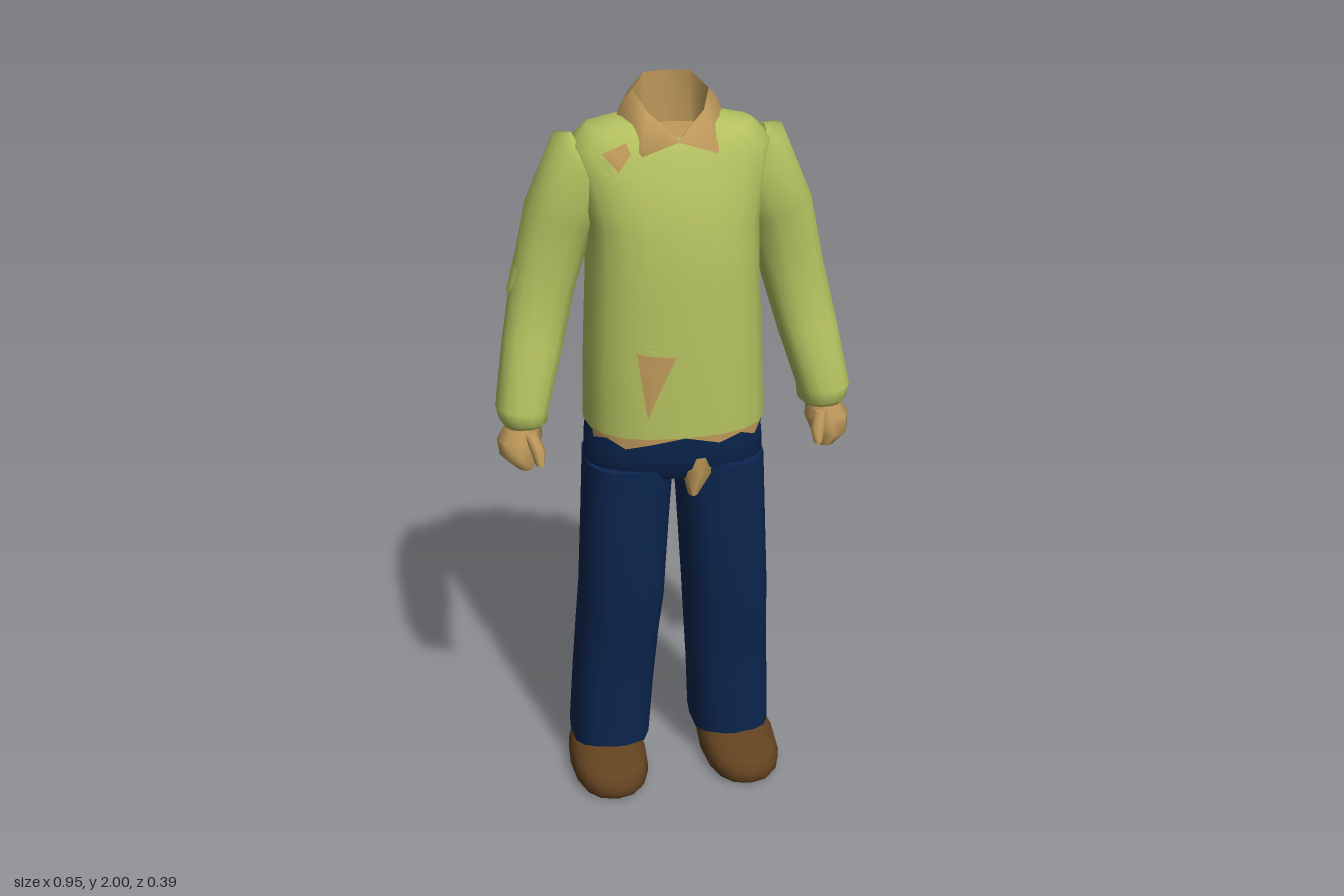
import * as THREE from 'three';

const mat = (name, color) => new THREE.MeshStandardMaterial({ name, color, side: THREE.DoubleSide });

// Skin over closed rows of points, listed top to bottom
function skin(rows, capTop, capBottom) {
  const n = rows[0].length, pos = rows.flat(2), idx = [];
  for (let i = 0; i < rows.length - 1; i++)
    for (let j = 0; j < n; j++) {
      const a = i * n + j, b = i * n + (j + 1) % n;
      idx.push(a, b, a + n, b, b + n, a + n);
    }
  const cap = (row, top) => {
    const base = pos.length / 3;
    pos.push(...row.flat());
    pos.push(...[0, 1, 2].map(k => row.reduce((s, p) => s + p[k], 0) / n));
    for (let j = 0; j < n; j++) {
      const a = base + j, b = base + (j + 1) % n;
      idx.push(base + n, top ? b : a, top ? a : b);
    }
  };
  if (capTop) cap(rows[0], true);
  if (capBottom) cap(rows[rows.length - 1], false);
  const g = new THREE.BufferGeometry();
  g.setAttribute('position', new THREE.Float32BufferAttribute(pos, 3));
  g.setIndex(idx);
  g.computeVertexNormals();
  return g;
}

// One rounded-box ring: centre x, y, half width, front z, back z
function ring(cx, y, rx, zf, zb, { tilt = 0, lift = 0, jag = 0, e = 2.5, n = 20 } = {}) {
  const pts = [];
  for (let j = 0; j < n; j++) {
    const a = (j / n) * Math.PI * 2, c = Math.cos(a), s = Math.sin(a);
    const u = Math.sign(c) * Math.abs(c) ** (2 / e), w = Math.sign(s) * Math.abs(s) ** (2 / e);
    const rag = jag * ((j * 7) % 5) / 4;
    pts.push([cx + rx * u * Math.cos(tilt), y + rx * u * Math.sin(tilt) + lift * u * u - rag,
      (zf + zb) / 2 + w * (zf - zb) / 2]);
  }
  return pts;
}

export function createModel() {
  const green = mat('shirtGreen', 0xb3c05f), tan = mat('tan', 0xbd985a);
  const navy = mat('trouserNavy', 0x0c2650), brown = mat('shoeBrown', 0x624220);
  const model = new THREE.Group();
  const add = (name, geo, m) => {
    const mesh = new THREE.Mesh(geo, m);
    mesh.name = name;
    model.add(mesh);
    return mesh;
  };

  // Shirt body with sloping shoulders
  const body = add('shirtBody', skin([
    ring(0, 1.865, 0.125, 0.07, -0.14, { lift: 0.04 }),
    ring(0, 1.855, 0.21, 0.085, -0.16, { lift: 0.03 }),
    ring(0, 1.82, 0.26, 0.1, -0.172, { lift: 0.02 }),
    ring(0, 1.76, 0.25, 0.128, -0.18),
    ring(0, 1.65, 0.222, 0.165, -0.186),
    ring(0, 1.5, 0.225, 0.175, -0.19),
    ring(0, 1.3, 0.235, 0.185, -0.192),
    ring(0, 1.11, 0.241, 0.19, -0.192),
  ], false, true), green);

  // Ragged undershirt showing below the hem
  add('undershirtHem', skin([
    ring(0, 1.13, 0.234, 0.18, -0.18),
    ring(0, 1.105, 0.234, 0.18, -0.18, { jag: 0.03 }),
  ]), tan);

  // Trouser seat
  const hips = add('trouserSeat', skin([
    ring(0, 1.13, 0.232, 0.165, -0.16),
    ring(0, 1.05, 0.241, 0.156, -0.158),
    ring(0, 1.0, 0.243, 0.148, -0.152),
    ring(0, 0.965, 0.225, 0.125, -0.13),
  ], true, true), navy);

  let rightSleeve;
  for (const m of [1, -1]) {
    const side = m > 0 ? 'left' : 'right';

    // Sleeve, bent slightly at the elbow and gathered at the cuff
    const slv = (x, y, rx, zf, zb, t) => ring(m * x, y, rx, zf, zb, { tilt: m * t, n: 14, e: 2.3 });
    const sleeve = add(side + 'Sleeve', skin([
      slv(0.21, 1.79, 0.08, 0.03, -0.12, 1.1),
      slv(0.225, 1.775, 0.11, 0.065, -0.15, 0.92),
      slv(0.285, 1.65, 0.092, 0.055, -0.15, 0.35),
      slv(0.33, 1.48, 0.085, 0.03, -0.13, 0.2),
      slv(0.366, 1.33, 0.08, 0.065, -0.09, 0.18),
      slv(0.404, 1.17, 0.07, 0.105, -0.045, 0.1),
      slv(0.402, 1.135, 0.064, 0.1, -0.04, 0.06),
      slv(0.402, 1.12, 0.052, 0.085, -0.025, 0),
    ], true, true), green);
    if (m < 0) rightSleeve = sleeve;

    // Closed hand with thumb
    const hnd = (x, y, rx, zf, zb) => ring(m * x, y, rx, zf, zb, { n: 8, e: 2 });
    add(side + 'Hand', skin([
      hnd(0.4, 1.14, 0.04, 0.075, -0.015),
      hnd(0.415, 1.085, 0.06, 0.1, -0.018),
      hnd(0.42, 1.045, 0.05, 0.112, -0.005),
      hnd(0.405, 1.012, 0.024, 0.1, 0.02),
    ], true, true), tan);
    add(side + 'Thumb', skin([
      hnd(0.39, 1.11, 0.018, 0.1, 0.05),
      hnd(0.375, 1.07, 0.019, 0.125, 0.08),
      hnd(0.372, 1.035, 0.011, 0.133, 0.105),
    ], true, true), tan);

    // Trouser leg
    const leg = (inner, outer, y, zf, zb, jag = 0) =>
      ring(m * (inner + outer) / 2, y, (outer - inner) / 2, zf, zb, { jag, n: 16, e: 2.6 });
    add(side + 'TrouserLeg', skin([
      leg(0.004, 0.243, 1.0, 0.148, -0.152),
      leg(0.016, 0.252, 0.82, 0.138, -0.138),
      leg(0.03, 0.264, 0.58, 0.13, -0.132),
      leg(0.04, 0.272, 0.45, 0.095, -0.145),
      leg(0.053, 0.282, 0.28, 0.08, -0.168),
      leg(0.064, 0.291, 0.1, 0.068, -0.195, 0.012),
    ], true, true), navy);

    // Rounded shoe with a slight heel
    const sho = (y, rx, zf, zb) => ring(m * 0.193, y, rx, zf, zb, { n: 16, e: 2.4 });
    add(side + 'Shoe', skin([
      sho(0.105, 0.075, 0.05, -0.155),
      sho(0.088, 0.09, 0.095, -0.17),
      sho(0.07, 0.104, 0.18, -0.178),
      sho(0.045, 0.11, 0.198, -0.182),
      sho(0.02, 0.11, 0.198, -0.182),
      sho(0.005, 0.103, 0.188, -0.175),
    ], true, true), brown);
    const heel = new THREE.BoxGeometry(0.13, 0.015, 0.1);
    heel.translate(m * 0.193, 0.0075, -0.11);
    add(side + 'Heel', heel, brown);
    const tread = new THREE.BoxGeometry(0.13, 0.012, 0.14);
    tread.translate(m * 0.193, 0.006, 0.08);
    add(side + 'Sole', tread, brown);
  }

  // Fold-over collar around an open neck
  const mirrorRow = half => [...half, ...half.slice(1, -1).reverse().map(([x, y, z]) => [-x, y, z])];
  const rim = mirrorRow([[0, 2, -0.08], [0.06, 1.998, -0.074], [0.095, 1.965, -0.015], [0.07, 1.925, 0.045], [0, 1.86, 0.082]]);
  const outer = mirrorRow([[0, 1.86, -0.17], [0.12, 1.865, -0.16], [0.137, 1.895, -0.04], [0.095, 1.83, 0.105], [0, 1.857, 0.086]]);
  const middle = rim.map((p, i) => p.map((v, k) => (v + outer[i][k]) / 2 * (k === 1 ? 1.004 : 1.03)));
  const floor = mirrorRow([[0, 1.87, -0.08], [0.06, 1.87, -0.07], [0.085, 1.87, -0.015], [0.06, 1.865, 0.04], [0, 1.855, 0.07]]);
  add('collar', skin([rim, middle, outer]), tan);
  add('neckLining', skin([floor, rim], true), tan);

  // Thin patches that hug a target mesh, projected along a direction
  model.updateMatrixWorld(true);
  function patch(name, target, corners, dir, m, off = 0.006) {
    const d = new THREE.Vector3(...dir), ray = new THREE.Raycaster();
    const pts = corners.map(p => new THREE.Vector3(...p));
    const mid = pts.reduce((s, p) => s.add(p), new THREE.Vector3()).divideScalar(pts.length);
    const edge = pts.flatMap((p, i) => [0, 1, 2].map(k => p.clone().lerp(pts[(i + 1) % pts.length], k / 3)));
    const place = p => {
      ray.set(p.clone().addScaledVector(d, -2), d);
      const hit = ray.intersectObject(target)[0];
      return (hit ? hit.point : p).clone().addScaledVector(d, -off).toArray();
    };
    const rows = [0.02, 0.35, 0.7, 1].map(t => edge.map(p => place(mid.clone().lerp(p, t))));
    const geo = skin(rows);
    // Wind the faces towards the viewer of the patch
    if (new THREE.Vector3().fromBufferAttribute(geo.attributes.normal, edge.length).dot(d) > 0) {
      geo.index.array.reverse();
      geo.computeVertexNormals();
    }
    add(name, geo, m);
  }
  const front = [0, 0, -1], back = [0, 0, 1];
  patch('bellyTear', body, [[-0.125, 1.35, 0], [-0.02, 1.345, 0], [-0.065, 1.25, 0], [-0.1, 1.17, 0]], front, tan);
  patch('bellyTearFlap', body, [[-0.135, 1.37, 0], [-0.01, 1.352, 0], [-0.03, 1.335, 0], [-0.12, 1.345, 0]], front, green, 0.012);
  patch('shoulderTear', body, [[-0.2, 1.83, 0], [-0.13, 1.86, 0], [-0.12, 1.835, 0], [-0.16, 1.785, 0]], front, tan);
  patch('shoulderTearFlap', body, [[-0.21, 1.83, 0], [-0.19, 1.835, 0], [-0.145, 1.785, 0], [-0.16, 1.775, 0]], front, green, 0.014);
  patch('backTear', body, [[0.105, 1.84, 0], [0.13, 1.84, 0], [0.135, 1.77, 0], [0.115, 1.77, 0]], back, tan);
  patch('backTearFlap', body, [[0.11, 1.78, 0], [0.14, 1.78, 0], [0.15, 1.71, 0], [0.12, 1.71, 0]], back, green, 0.014);
  patch('elbowTearFlap', rightSleeve, [[0, 1.55, -0.03], [0, 1.53, 0], [0, 1.47, -0.005], [0, 1.46, -0.035]], [1, 0, 0], green, 0.009);
  patch('seatTear', hips, [[-0.06, 1.01, 0], [0.05, 1.01, 0], [0.03, 0.975, 0], [-0.03, 0.975, 0]], back, tan, 0.004);

  // Torn cloth at the crotch
  const cloth = skin([
    ring(0.045, 1.03, 0.045, 0.154, 0.06, { n: 8 }),
    ring(0.045, 0.98, 0.04, 0.153, 0.06, { n: 8 }),
    ring(0.03, 0.92, 0.012, 0.147, 0.1, { n: 8 }),
  ], true, true);
  add('crotchTear', cloth, tan);
  return model;
}
